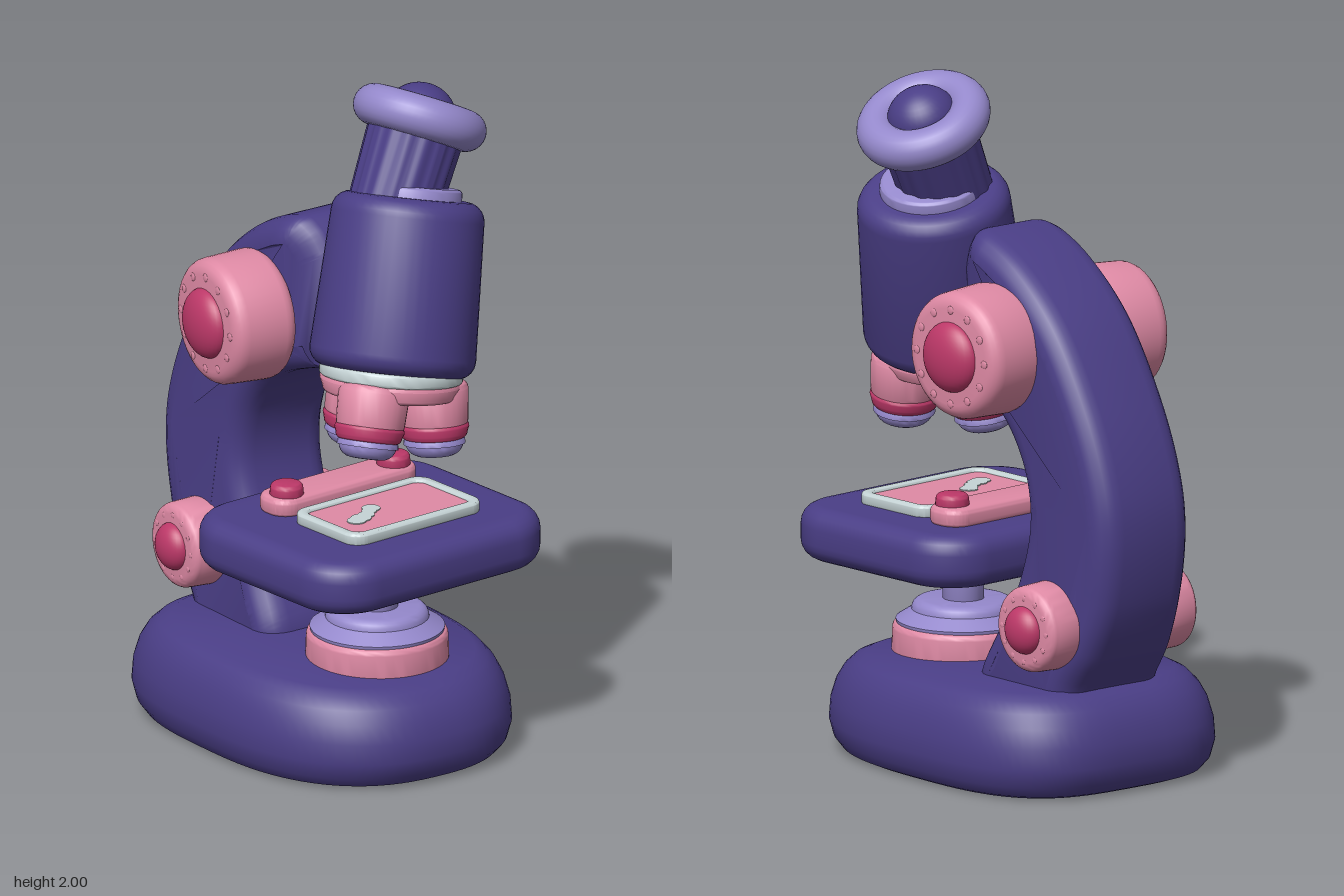
import * as THREE from 'three';
import { toCreasedNormals } from 'three/addons/utils/BufferGeometryUtils.js';

const { smoothstep, degToRad } = THREE.MathUtils;

const paint = (name, color) => {
  const m = new THREE.MeshStandardMaterial({ color });
  m.name = name;
  return m;
};

// Round part about y with softened rims
function rod(rBottom, rTop, y0, y1, b, segments = 48) {
  const pts = [new THREE.Vector2(0, y0)];
  for (let i = 0; i <= 5; i++) {
    const a = (i / 5) * Math.PI / 2;
    pts.push(new THREE.Vector2(rBottom - b + b * Math.sin(a), y0 + b - b * Math.cos(a)));
  }
  for (let i = 0; i <= 5; i++) {
    const a = (i / 5) * Math.PI / 2;
    pts.push(new THREE.Vector2(rTop - b + b * Math.cos(a), y1 - b + b * Math.sin(a)));
  }
  pts.push(new THREE.Vector2(0, y1));
  return toCreasedNormals(new THREE.LatheGeometry(pts, segments), 0.7);
}

function roundedRect(w, d, r, Type = THREE.Shape) {
  const s = new Type(), x = w / 2 - r, y = d / 2 - r;
  s.absarc(x, y, r, 0, Math.PI / 2);
  s.absarc(-x, y, r, Math.PI / 2, Math.PI);
  s.absarc(-x, -y, r, Math.PI, Math.PI * 1.5);
  s.absarc(x, -y, r, Math.PI * 1.5, Math.PI * 2);
  s.closePath();
  return s;
}

// Extrude with a rounded bevel that stays inside the outline
function soft(shape, depth, b) {
  const g = new THREE.ExtrudeGeometry(shape, {
    depth: depth - 2 * b, bevelEnabled: true, bevelSize: b, bevelThickness: b,
    bevelOffset: -b, bevelSegments: 5, curveSegments: 12,
  });
  return toCreasedNormals(g.translate(0, 0, b), 0.7);
}

// Flat-lying slab whose underside is at y = 0
const slab = (shape, h, b) => soft(shape, h, b).rotateX(-Math.PI / 2);

// Move every vertex by a rule, then rebuild the normals
function bend(geometry, rule) {
  const pos = geometry.attributes.position;
  for (let i = 0; i < pos.count; i++) pos.setXYZ(i, ...rule(pos.getX(i), pos.getY(i), pos.getZ(i)));
  return toCreasedNormals(geometry, 0.7);
}

export function createModel() {
  const indigo = paint('indigo', 0x4a3e86);
  const lavender = paint('lavender', 0x9488cb);
  const pink = paint('pink', 0xdf8aa5);
  const crimson = paint('crimson', 0xbc3868);
  const pale = paint('paleGrey', 0xc6d4d6);

  const model = new THREE.Group();
  model.name = 'microscope';
  const add = (parent, name, geometry, material, x = 0, y = 0, z = 0) => {
    const m = new THREE.Mesh(geometry, material);
    m.name = name;
    m.position.set(x, y, z);
    parent.add(m);
    return m;
  };
  const group = (parent, name, x, y, z) => {
    const g = new THREE.Group();
    g.name = name;
    g.position.set(x, y, z);
    parent.add(g);
    return g;
  };
  const tilted = (name, x, y, z, ...axis) => {
    const g = group(model, name, x, y, z);
    g.quaternion.setFromUnitVectors(new THREE.Vector3(0, 1, 0), new THREE.Vector3(...axis).normalize());
    return g;
  };

  // Base: turned profile pushed out to an egg-like rounded outline
  const profile = [[0, 0], [0.88, 0], [0.93, 0.01], [0.975, 0.04], [1, 0.09], [0.992, 0.15], [0.962, 0.205],
    [0.92, 0.245], [0.865, 0.275], [0.8, 0.291], [0, 0.296]].map(p => new THREE.Vector2(...p));
  const base = bend(new THREE.LatheGeometry(profile, 80), (x, y, z) => {
    const r = Math.hypot(x, z) || 1, e = 2 / (z < 0 ? 3.2 : 2.45);
    const push = v => Math.sign(v) * Math.pow(Math.abs(v / r), e) * r;
    const nz = push(z) * 0.585 + 0.025;
    return [push(x) * 0.443, y * (1 - 0.07 * nz), nz];
  });
  add(model, 'base', base, indigo);

  // Curved arm, drawn from the side (z, y); flared at the foot, narrowed into the head
  const arm = new THREE.Shape();
  const v = list => list.map(p => new THREE.Vector2(...p));
  arm.moveTo(-0.02, 0.22);
  arm.splineThru(v([[-0.035, 0.32], [-0.1, 0.44], [-0.18, 0.6], [-0.225, 0.76], [-0.205, 0.9],
    [-0.13, 1.02], [-0.03, 1.09], [0.09, 1.13]]));
  arm.lineTo(0.12, 1.48);
  arm.splineThru(v([[0.07, 1.55], [0, 1.575], [-0.17, 1.505], [-0.35, 1.355], [-0.5, 1.13], [-0.585, 0.93],
    [-0.61, 0.76], [-0.585, 0.57], [-0.52, 0.41], [-0.45, 0.3], [-0.42, 0.22]]));
  arm.closePath();
  const armGeo = soft(arm, 0.34, 0.075).rotateY(-Math.PI / 2).translate(0.17, 0, 0);
  add(model, 'arm', bend(armGeo, (x, y, z) =>
    [x * (1.13 - 0.13 * smoothstep(y, 0.3, 0.6) - 0.3 * smoothstep(z, -0.03, 0.12)), y, z]), indigo, 0.017);

  // Focus knobs on both sides of the arm, toed slightly to the back
  const knob = (name, y, z, r, inner, outer, tip, toe) => {
    for (const side of [1, -1]) {
      const g = group(model, (side > 0 ? 'left' : 'right') + name, 0.017, y, z + 0.25 * Math.sin(toe));
      g.rotation.y = side > 0 ? toe : Math.PI - toe;
      add(g, 'knobBody', rod(r, r * 0.97, inner, outer, r * 0.23).rotateZ(-Math.PI / 2), pink);
      const cap = add(g, 'knobCap', new THREE.SphereGeometry(r * 0.54, 32, 20), crimson, outer - 0.005);
      cap.scale.x = (tip - outer + 0.005) / (r * 0.54);
      for (let i = 0; i < 12; i++) {
        const a = (i / 12) * Math.PI * 2;
        const stud = add(g, 'knobStud', new THREE.SphereGeometry(r * 0.065, 10, 8), pink,
          outer - 0.001, Math.cos(a) * r * 0.72, Math.sin(a) * r * 0.72);
        stud.scale.x = 0.3;
      }
    }
  };
  knob('CoarseKnob', 1.26, -0.115, 0.192, 0.14, 0.347, 0.397, 0.09);
  knob('FineKnob', 0.49, -0.375, 0.13, 0.13, 0.28, 0.322, 0.05);

  // Lamp and column below the stage
  const lamp = group(model, 'lamp', 0.015, 0, 0.245);
  add(lamp, 'lampHousing', rod(0.208, 0.205, 0.24, 0.368, 0.02), pink);
  add(lamp, 'lampLens', rod(0.195, 0.15, 0.345, 0.434, 0.03), lavender);
  add(lamp, 'stageColumn', rod(0.06, 0.06, 0.4, 0.6, 0.01, 32), lavender);

  // Stage, slightly turned, with slide and clip
  const stage = group(model, 'stage', 0, 0.563, 0.23);
  stage.rotation.y = 0.07;
  add(stage, 'stagePlate', slab(roundedRect(0.853, 0.725, 0.17), 0.157, 0.055), indigo);
  const rim = roundedRect(0.49, 0.295, 0.05);
  rim.holes.push(roundedRect(0.43, 0.235, 0.03, THREE.Path));
  add(stage, 'slideFrame', slab(rim, 0.037, 0.008), pale, 0.014, 0.152, 0.065);
  add(stage, 'slideGlass', new THREE.BoxGeometry(0.45, 0.03, 0.255), pink, 0.014, 0.165, 0.065);
  [[-0.125, 0.09, 0.028], [-0.1, 0.08, 0.03], [-0.07, 0.068, 0.024], [-0.045, 0.05, 0.022], [-0.025, 0.035, 0.027]]
    .forEach(([x, z, r]) => add(stage, 'specimen',
      new THREE.CylinderGeometry(r, r, 0.004, 24), pale, x, 0.181, z));
  add(stage, 'clipBar', slab(roundedRect(0.53, 0.14, 0.06), 0.057, 0.018), pink, 0.022, 0.152, -0.17);
  for (const s of [-1, 1])
    add(stage, 'clipButton', rod(0.05, 0.048, 0.19, 0.242, 0.015, 24), crimson, 0.022 + s * 0.2, 0, -0.16);

  // Tilted head barrel with collar
  const head = tilted('head', 0, 1.19, 0.335, 0.19, 0.69, -0.13);
  add(head, 'headBarrel', rod(0.241, 0.222, -0.015, 0.495, 0.055), indigo);
  add(head, 'headCollar', rod(0.153, 0.15, 0.46, 0.528, 0.012), lavender);

  // Eyepiece, leaning further than the head, with a fluted neck
  const eyepiece = tilted('eyepiece', 0.095, 1.675, 0.235, 0.44, 0.88, -0.13);
  const neck = bend(new THREE.CylinderGeometry(0.14, 0.132, 0.27, 96, 1, true), (x, y, z) => {
    const k = 1 + 0.02 * Math.cos(16 * Math.atan2(x, z));
    return [x * k, y, z * k];
  });
  add(eyepiece, 'eyepieceNeck', neck, indigo, 0, 0.08, 0);
  add(eyepiece, 'eyepieceRing', new THREE.TorusGeometry(0.138, 0.06, 24, 64).rotateX(Math.PI / 2),
    lavender, 0, 0.225, 0);
  add(eyepiece, 'eyepieceLens', new THREE.SphereGeometry(0.105, 32, 20), indigo, 0, 0.23, 0).scale.y = 0.93;

  // Turret, more upright than the head, with three objectives
  const turret = tilted('turret', 0, 1.18, 0.335, 0.17, 0.98, -0.1);
  add(turret, 'turretRing', rod(0.208, 0.208, -0.02, 0.02, 0.008), pale);
  add(turret, 'turretDisc', rod(0.195, 0.205, -0.07, -0.015, 0.015), pink);
  for (let i = 0; i < 3; i++) {
    const spin = group(turret, 'objective' + (i + 1), 0, 0, 0);
    spin.rotation.y = -degToRad(28 + 120 * i);
    const lens = group(spin, 'objectiveTube', 0.122, -0.035, 0);
    lens.rotation.z = 0.12;
    add(lens, 'objectiveBody', rod(0.1, 0.104, -0.122, 0.01, 0.02, 32), pink);
    add(lens, 'objectiveBand', rod(0.096, 0.102, -0.155, -0.105, 0.016, 32), crimson);
    add(lens, 'objectiveTip', rod(0.084, 0.09, -0.205, -0.13, 0.04, 32), lavender);
  }
  return model;
}
